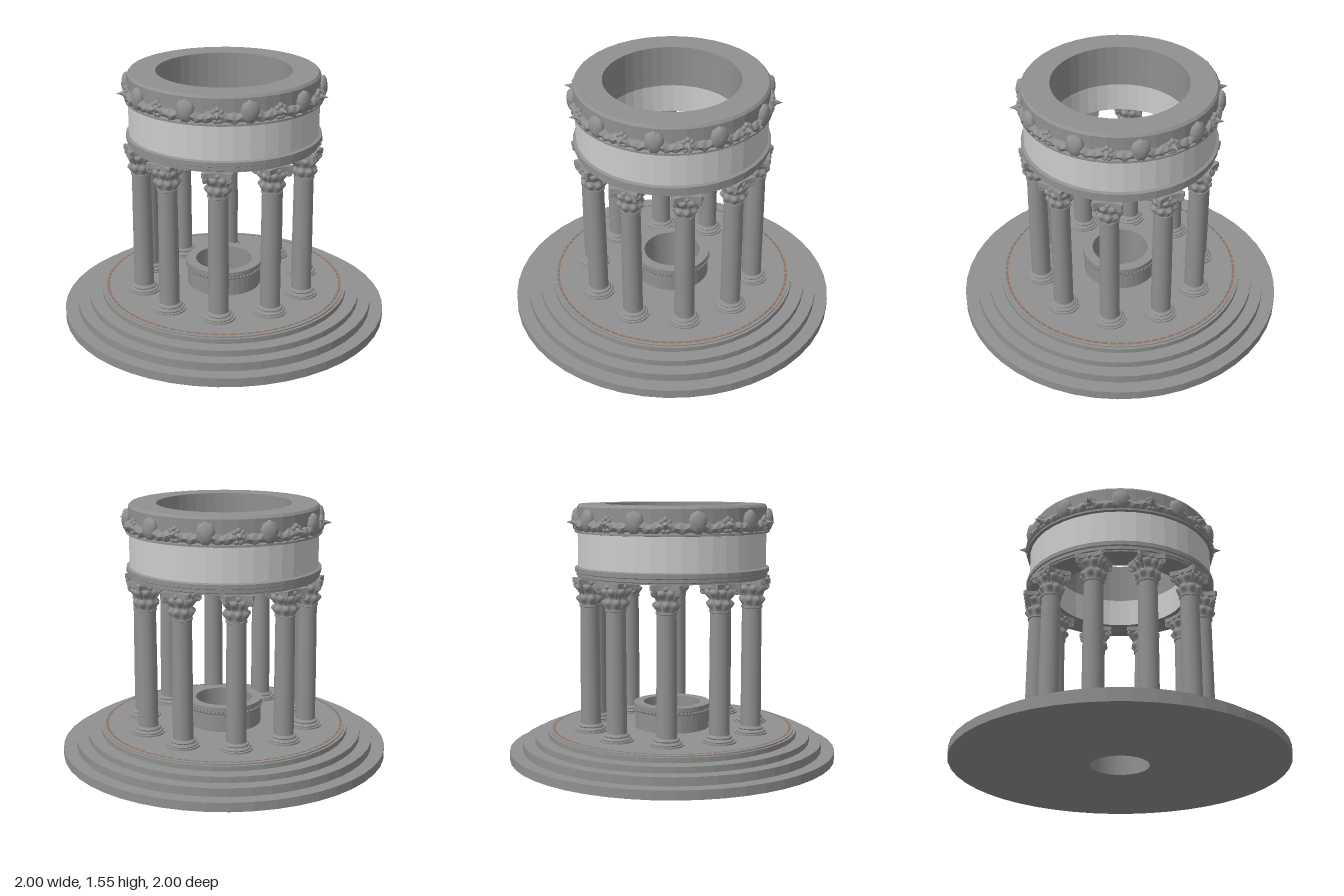
import * as THREE from 'three';
import { mergeGeometries, toCreasedNormals } from 'three/addons/utils/BufferGeometryUtils.js';

const stone = new THREE.MeshStandardMaterial({ color: 0x8f918f });
stone.name = 'grey stone';
const pale = new THREE.MeshStandardMaterial({ color: 0xcccccc });
pale.name = 'pale stone';
const bronze = new THREE.MeshStandardMaterial({ color: 0x8c7060 });
bronze.name = 'brown inlay';

const mesh = (name, geometry, material = stone) => {
  const m = new THREE.Mesh(geometry, material);
  m.name = name;
  return m;
};

// Turned solid or surface from [radius, height] pairs, counter-clockwise
const turned = (pairs, sides, crease) => toCreasedNormals(
  new THREE.LatheGeometry(pairs.map(([r, y]) => new THREE.Vector2(r, y)), sides), crease);

// Move every vertex by a rule
function reshape(geometry, rule) {
  const p = geometry.attributes.position, v = new THREE.Vector3();
  for (let i = 0; i < p.count; i++) {
    rule(v.fromBufferAttribute(p, i));
    p.setXYZ(i, v.x, v.y, v.z);
  }
  geometry.computeVertexNormals();
  return geometry;
}

// Repeat a part around the vertical axis, turned to face outwards
function around(name, count, radius, y, offset, make) {
  const g = new THREE.Group();
  g.name = name;
  for (let i = 0; i < count; i++) {
    const a = ((i + offset) / count) * Math.PI * 2;
    const part = make();
    part.position.set(radius * Math.sin(a), y, radius * Math.cos(a));
    part.rotation.y = a;
    g.add(part);
  }
  return g;
}

// Leafy bell of the capital: two tiers of curling leaves
function capitalBell() {
  const pts = [];
  for (let i = 0; i <= 12; i++) pts.push(new THREE.Vector2(0.058 + 0.014 * (i / 12) ** 2, 0.95 + 0.13 * i / 12));
  return reshape(new THREE.LatheGeometry(pts, 48), (v) => {
    const a = Math.atan2(v.x, v.z), t = THREE.MathUtils.clamp((v.y - 0.95) / 0.13, 0, 1);
    const lower = t < 0.49;
    const tier = THREE.MathUtils.clamp(lower ? t * 2 : t * 2 - 1, 0, 1);
    const lobe = Math.abs(Math.cos(4 * a + (lower ? 0 : Math.PI / 2)));
    const scale = 1 + 0.024 * lobe * Math.sin(Math.PI * tier ** 1.8) / Math.hypot(v.x, v.z);
    v.x *= scale;
    v.z *= scale;
  });
}

// Concave-sided slab with cut corners
function abacus() {
  const s = new THREE.Shape(), w = 0.09, c = 0.078;
  s.moveTo(-c, -w);
  for (let i = 0; i < 4; i++) {
    const k = Math.cos(i * Math.PI / 2), n = Math.sin(i * Math.PI / 2);
    const at = (x, y) => [x * k - y * n, x * n + y * k];
    s.quadraticCurveTo(...at(0, -0.054), ...at(c, -w));
    s.lineTo(...at(w, -c));
  }
  const g = new THREE.ExtrudeGeometry(s, { depth: 0.03, bevelEnabled: false, curveSegments: 6 });
  return g.rotateX(-Math.PI / 2).translate(0, 1.08, 0);
}

// Corner scrolls and mid-side flowers below the slab
function scrolls() {
  const parts = [];
  for (let i = 0; i < 4; i++) {
    const scroll = new THREE.TorusGeometry(0.014, 0.009, 6, 10).rotateY(Math.PI / 2).translate(0, 1.066, 0.096);
    const stalk = new THREE.CylinderGeometry(0.012, 0.008, 0.07, 6).rotateX(0.65).translate(0, 1.045, 0.074);
    const flower = new THREE.SphereGeometry(0.016, 8, 6).translate(0, 1.088, 0.068);
    const a = i * Math.PI / 2;
    parts.push(scroll.rotateY(a + Math.PI / 4), stalk.rotateY(a + Math.PI / 4), flower.rotateY(a));
  }
  return mergeGeometries(parts);
}

// Shell-like head with ridges, wider at the top
function shellHead() {
  return reshape(new THREE.SphereGeometry(1, 18, 12), (v) => {
    const a = Math.atan2(v.x, v.y), rim = Math.hypot(v.x, v.y);
    const k = 1 + 0.07 * rim * Math.cos(9 * a) + 0.07 * Math.sin(7 * v.y + 3) * Math.cos(6 * v.x);
    v.set(v.x * 0.054 * k * (1 + 0.18 * v.y), v.y * 0.066 * k, v.z * 0.034 * k);
  });
}

// Pointed boss projecting outwards over a small rosette
function pointedBoss() {
  const cone = new THREE.ConeGeometry(0.026, 0.075, 10).rotateX(Math.PI / 2).translate(0, 0.004, 0.03);
  const parts = [cone, new THREE.SphereGeometry(0.024, 10, 8).translate(0, 0, 0.008)];
  for (let i = 0; i < 7; i++) {
    const a = i / 7 * Math.PI * 2;
    parts.push(new THREE.SphereGeometry(0.016, 8, 6).translate(0.027 * Math.sin(a), 0.034 * Math.cos(a), 0.004));
  }
  return mergeGeometries(parts);
}

// Lumpy garland running right round, dipping between its supports
function garland() {
  const ring = new THREE.TorusGeometry(0.572, 0.025, 8, 240).rotateX(Math.PI / 2);
  return reshape(ring, (v) => {
    const a = Math.atan2(v.x, v.z);
    const bump = 1 + 0.012 * Math.sin(70 * a) * Math.sin(150 * v.y + 1) + 0.006 * Math.sin(50 * a + 90 * v.y);
    v.x *= bump;
    v.z *= bump;
    v.y = 1.432 + 0.01 * Math.cos(20 * a) + v.y * (1.25 + 0.25 * Math.sin(50 * a));
  });
}

export function createModel() {
  const model = new THREE.Group();
  model.name = 'roundTemple';
  const flat = 0.05;

  // Stepped base with a central shaft
  model.add(mesh('steppedBase', turned([[0.175, 0], [1, 0], [1, 0.055], [0.92, 0.055], [0.92, 0.105], [0.845, 0.105],
    [0.845, 0.142], [0.765, 0.142], [0.765, 0.172], [0.75, 0.172], [0.75, 0.18], [0.175, 0.18], [0.175, 0]], 48, flat)));

  // Dashed inlay in the floor
  const dashes = [];
  for (let i = 0; i < 90; i++) {
    dashes.push(new THREE.RingGeometry(0.72, 0.736, 2, 1, i / 90 * Math.PI * 2, 0.058).rotateX(-Math.PI / 2));
  }
  const inlay = mesh('floorInlay', mergeGeometries(dashes), bronze);
  inlay.position.y = 0.183;
  model.add(inlay);

  // Well curb with a beaded band
  model.add(mesh('wellCurb', turned([[0.175, 0.18], [0.228, 0.18], [0.228, 0.288], [0.235, 0.31], [0.235, 0.335],
    [0.175, 0.335], [0.175, 0.18]], 40, flat)));
  const beadGeo = new THREE.SphereGeometry(0.011, 6, 4);
  model.add(around('wellBeads', 60, 0.23, 0.298, 0, () => mesh('bead', beadGeo)));

  // Ten columns
  const shaftGeo = turned([[0.06, 0.215], [0.06, 0.5], [0.057, 0.94], [0.063, 0.943], [0.063, 0.953], [0.055, 0.955]], 24, 0.5);
  const footGeo = turned([[0.1, 0.18], [0.1, 0.189], [0.088, 0.19], [0.09, 0.196], [0.086, 0.202], [0.075, 0.204],
    [0.073, 0.209], [0.077, 0.214], [0.074, 0.22], [0.064, 0.222], [0.06, 0.228]], 24, 0.5);
  const bellGeo = capitalBell(), slabGeo = abacus(), scrollGeo = scrolls();
  model.add(around('columns', 10, 0.51, 0, 0, () => {
    const column = new THREE.Group();
    column.name = 'column';
    column.add(mesh('columnFoot', footGeo), mesh('columnShaft', shaftGeo), mesh('capitalLeaves', bellGeo),
      mesh('capitalSlab', slabGeo), mesh('capitalScrolls', scrollGeo));
    return column;
  }));

  // Drum: lower moulding, pale wall inside and out, upper ring
  model.add(mesh('lowerMoulding', turned([[0.405, 1.11], [0.572, 1.11], [0.572, 1.118], [0.58, 1.122], [0.58, 1.142],
    [0.588, 1.146], [0.588, 1.172], [0.57, 1.178]], 40, flat)));
  model.add(mesh('drumWall', turned([[0.57, 1.176], [0.57, 1.385]], 40, flat), pale));
  model.add(mesh('innerWall', turned([[0.405, 1.29], [0.405, 1.11]], 40, flat), pale));
  model.add(mesh('upperRing', turned([[0.57, 1.38], [0.59, 1.382], [0.59, 1.394], [0.572, 1.398], [0.572, 1.535],
    [0.56, 1.55], [0.405, 1.55], [0.405, 1.29]], 40, flat)));

  // Frieze ornaments
  const headGeo = shellHead(), bossGeo = pointedBoss();
  model.add(mesh('garland', garland()));
  model.add(around('shellHeads', 10, 0.578, 1.457, 0.5, () => mesh('shellHead', headGeo)));
  model.add(around('pointedBosses', 10, 0.578, 1.442, 0, () => mesh('pointedBoss', bossGeo)));

  return model;
}
